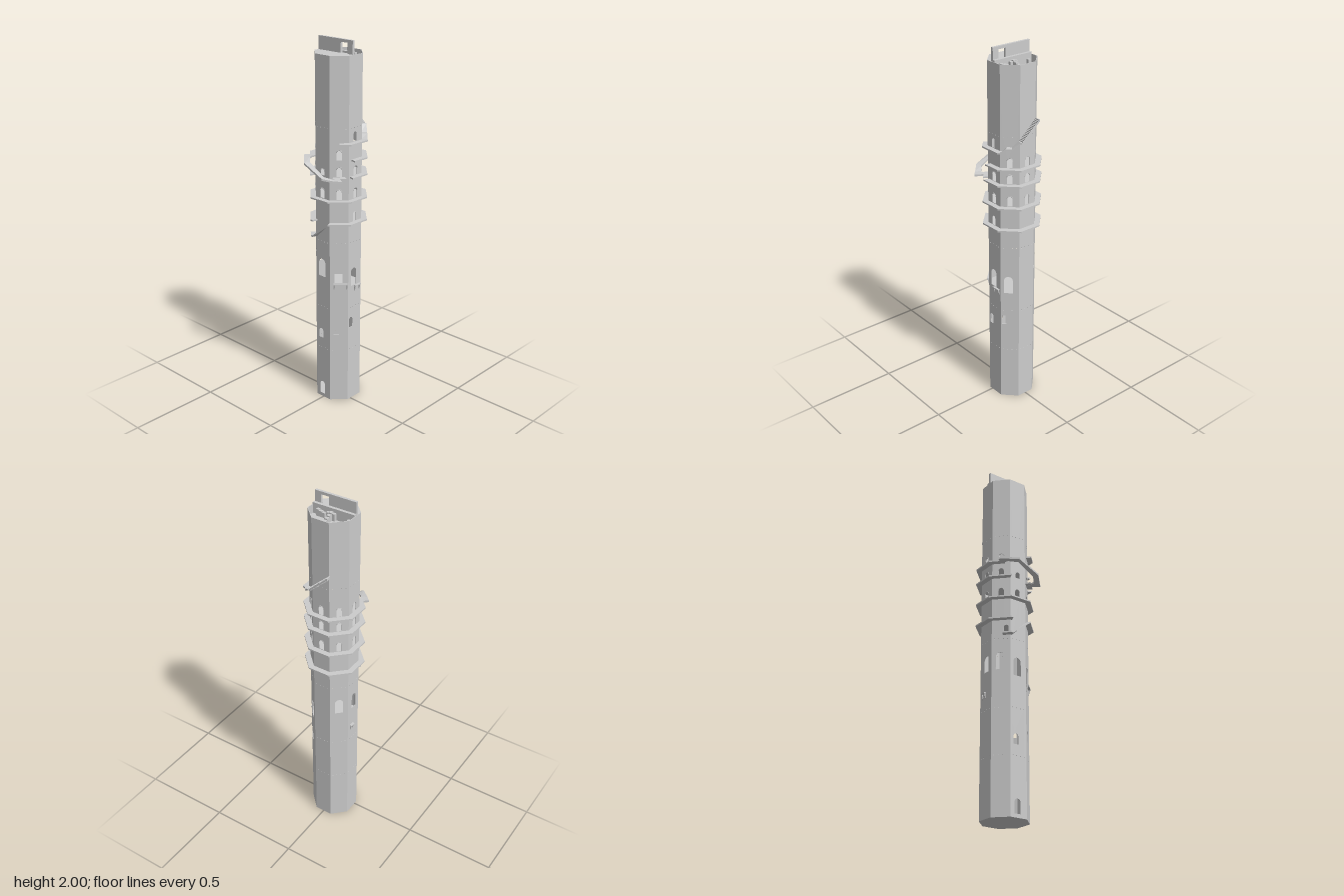
import * as THREE from 'three';

const stone = new THREE.MeshStandardMaterial({ color: 0xcccccc, side: THREE.DoubleSide });
stone.name = 'pale stone';

const CZ = -0.029;            // tower axis in z
const APO = 0.119;            // apothem of the octagon
const HALF = APO * Math.tan(Math.PI / 8);
const TOP = 1.93;

// point on an octagon; whole s = corner, s 0..1 front face, 2..3 the +x face
function ringPoint(s, apothem) {
  const corner = (i) => {
    const a = (i - 0.5) * Math.PI / 4, r = apothem / Math.cos(Math.PI / 8);
    return [r * Math.sin(a), CZ + r * Math.cos(a)];
  };
  const i = Math.floor(s), t = s - i, p = corner(i), q = corner(i + 1);
  return [p[0] + (q[0] - p[0]) * t, p[1] + (q[1] - p[1]) * t];
}

// slab through sections [innerX, innerZ, outerX, outerZ, topY]
function slab(sections, thick) {
  const loops = sections.map(([ix, iz, ox, oz, y]) =>
    [[ix, y, iz], [ox, y, oz], [ox, y - thick, oz], [ix, y - thick, iz]]);
  const pos = [];
  const quad = (a, b, c, d) => pos.push(...a, ...b, ...c, ...a, ...c, ...d);
  for (let i = 0; i < loops.length - 1; i++) {
    for (let j = 0; j < 4; j++) {
      const k = (j + 1) % 4;
      quad(loops[i][j], loops[i][k], loops[i + 1][k], loops[i + 1][j]);
    }
  }
  const f = loops[0], e = loops[loops.length - 1];
  quad(f[3], f[2], f[1], f[0]);
  quad(e[0], e[1], e[2], e[3]);
  const g = new THREE.BufferGeometry();
  g.setAttribute('position', new THREE.Float32BufferAttribute(pos, 3));
  g.computeVertexNormals();
  return g;
}

// walkway hugging the tower, through [s, y] stops; corners are added
function walkway(stops, thick = 0.008) {
  const sections = [];
  const add = (s, y) => sections.push([...ringPoint(s, APO - 0.002), ...ringPoint(s, 0.148), y]);
  stops.forEach(([s, y], i) => {
    add(s, y);
    const next = stops[i + 1];
    if (!next) return;
    for (let c = Math.floor(s) + 1; c < next[0]; c++) {
      add(c, y + (next[1] - y) * (c - s) / (next[0] - s));
    }
  });
  return slab(sections, thick);
}

function archHole(u, y0, y1, w) {
  const r = w / 2, p = new THREE.Path();
  p.moveTo(u - r, y0);
  p.lineTo(u + r, y0);
  p.lineTo(u + r, y1 - r);
  p.absarc(u, y1 - r, r, 0, Math.PI, false);
  p.lineTo(u - r, y0);
  return p;
}

// openings per face [u, bottom, top, width], counted from the front towards +x
const upper = [[0, 1.185, 1.24, 0.028], [0, 1.31, 1.36, 0.028], [0, 1.398, 1.45, 0.028]];
const openings = [
  [[-0.007, 0.02, 0.095, 0.036], [-0.015, 0.37, 0.425, 0.03], [-0.006, 0.74, 0.84, 0.046],
    [-0.003, 1.185, 1.24, 0.028], [0, 1.31, 1.345, 0.026]],
  [...upper, [-0.003, 0.715, 0.815, 0.042], [-0.014, 0.405, 0.46, 0.03]],
  [upper[0], upper[1], [-0.004, 1.058, 1.11, 0.022], [-0.004, 1.49, 1.54, 0.022],
    [-0.008, 0.69, 0.79, 0.042], [-0.028, 0.445, 0.505, 0.026]],
  [...upper, [-0.008, 0.67, 0.77, 0.048], [-0.03, 0.475, 0.53, 0.026]],
  [...upper],
  [...upper, [0, 0.77, 0.86, 0.045]],
  [...upper, [0.005, 0.77, 0.86, 0.036]],
  [...upper, [0.027, 0.967, 1.02, 0.026], [-0.005, 0.77, 0.865, 0.044]],
];

export function createModel() {
  const tower = new THREE.Group();
  tower.name = 'tower';
  const add = (geometry, name, parent = tower) => {
    const m = new THREE.Mesh(geometry, stone);
    m.name = name;
    parent.add(m);
    return m;
  };
  const box = (name, x0, x1, y0, y1, z0, z1, parent) => {
    const m = add(new THREE.BoxGeometry(x1 - x0, y1 - y0, z1 - z0), name, parent);
    m.position.set((x0 + x1) / 2, (y0 + y1) / 2, (z0 + z1) / 2);
    return m;
  };

  // eight thin wall panels with arched openings and rows of beam sockets
  const faces = openings.map((list, i) => {
    const face = new THREE.Group();
    face.name = 'face' + i;
    face.position.z = CZ;
    face.rotation.y = i * Math.PI / 4;
    tower.add(face);
    const shape = new THREE.Shape();
    shape.moveTo(-HALF, 0);
    shape.lineTo(HALF, 0);
    shape.lineTo(HALF, TOP);
    shape.lineTo(-HALF, TOP);
    list.forEach((o) => shape.holes.push(archHole(...o)));
    for (const y of [0.31, 0.56, 0.94, 1.56]) {
      for (const u of [-0.034, -0.012, 0.012, 0.034]) shape.holes.push(archHole(u, y, y + 0.004, 0.004));
    }
    const g = new THREE.ExtrudeGeometry(shape, { depth: 0.003, bevelEnabled: false, curveSegments: 6 });
    g.translate(0, 0, APO - 0.003);
    add(g, 'wallPanel', face);
    // small hoods over the upper windows
    list.filter((o) => o[1] > 1.15 && o[1] < 1.45).forEach(([u, , y1, w]) => {
      const hood = add(new THREE.TorusGeometry(w / 2 + 0.001, 0.002, 4, 8, Math.PI), 'windowHood', face);
      hood.position.set(u, y1 - w / 2, APO + 0.001);
    });
    return face;
  });

  // base and inner floors
  for (const y of [0.004, 0.66, 1.05, 1.175, 1.3, 1.39, 1.88]) {
    const floor = add(new THREE.CylinderGeometry(1, 1, 0.008, 8), y < 0.01 ? 'base' : 'floor');
    const r = (APO - 0.001) / Math.cos(Math.PI / 8);
    floor.scale.set(r, 1, r);
    floor.rotation.y = Math.PI / 8;
    floor.position.set(0, y, CZ);
  }

  // front half roof
  const roof = new THREE.Shape([[-APO, -0.021], [APO, -0.021], [APO, CZ + HALF],
    [HALF, CZ + APO], [-HALF, CZ + APO], [-APO, CZ + HALF]].map(([x, z]) => new THREE.Vector2(x, -z)));
  const roofGeometry = new THREE.ExtrudeGeometry(roof, { depth: 0.01, bevelEnabled: false });
  roofGeometry.rotateX(-Math.PI / 2);
  roofGeometry.translate(0, TOP - 0.01, 0);
  add(roofGeometry, 'roof');

  // cross wall with doorway
  box('crossWall', -0.118, 0.035, 1.88, 2, -0.021, -0.007);
  box('crossWall', 0.08, 0.115, 1.88, 2, -0.021, -0.007);
  box('lintel', 0.035, 0.08, 1.985, 2, -0.021, -0.007);
  box('threshold', 0.035, 0.08, 1.88, TOP, -0.021, -0.007);
  box('wallStep', -0.118, 0.118, 1.88, 1.94, -0.037, -0.021);

  // stairs and blocks in the open back half
  for (let i = 0; i < 6; i++) {
    box('innerStep', -0.003, 0.014, 1.88, 1.89 + i * 0.007, -0.146 + i * 0.018, -0.128 + i * 0.018);
  }
  for (const [x0, x1, h] of [[-0.1, -0.085, 0.03], [-0.018, 0.03, 0.04], [0.04, 0.055, 0.03],
    [0.055, 0.072, 0.035], [0.072, 0.088, 0.04]]) box('innerBlock', x0, x1, 1.88, 1.88 + h, -0.053, -0.037);

  // ring walkways and the ramps joining them
  add(walkway([[-0.4, 0.97], [0.09, 0.97], [1, 1.057], [8.1, 1.057]]), 'lowestWalkway');
  add(walkway([[0, 1.182], [8, 1.182]]), 'secondWalkway');
  add(walkway([[2.1, 1.308], [8, 1.308]]), 'thirdWalkway');
  add(walkway([[1.2, 1.308], [1.8, 1.308]]), 'rampLanding');
  add(walkway([[2.2, 1.397], [7.7, 1.397]]), 'fourthWalkway');
  add(walkway([[1.5, 1.488], [3.1, 1.488], [3.35, 1.51], [3.6, 1.51], [3.95, 1.545], [4.05, 1.545]]), 'topWalkway');

  // ramp standing clear of the front
  add(slab([
    [-0.09, 0.06, -0.13, 0.092, 1.397], [-0.075, 0.105, -0.105, 0.118, 1.395],
    [-0.036, 0.145, -0.048, 0.175, 1.383], [0.062, 0.145, 0.075, 0.175, 1.325],
    [0.095, 0.11, 0.12, 0.128, 1.31], [0.085, 0.062, 0.147, 0.1, 1.308],
  ], 0.01), 'frontRamp');

  // stair climbing the back
  const steps = 17;
  for (let i = 0; i < steps; i++) {
    const x = 0.052 - i * 0.0063, y = 1.545 + i * 0.0057;
    box('backStep', x - 0.0063, x, y - 0.008, y + 0.0057, -0.176, -0.147);
  }

  // broken ledges with slanted brackets
  for (const [f, u0, u1, y] of [[1, -0.03, 0.045, 0.712], [2, -0.005, 0.04, 0.688], [6, -0.03, 0, 0.66]]) {
    box('ledge', u0, u1, y - 0.006, y, APO - 0.002, APO + 0.012, faces[f]);
    for (const u of [u0 + 0.004, u1 - 0.004]) {
      const b = box('ledgeBracket', u - 0.003, u + 0.003, y - 0.035, y - 0.002, APO, APO + 0.006, faces[f]);
      b.rotation.x = 0.3;
    }
  }
  return tower;
}
